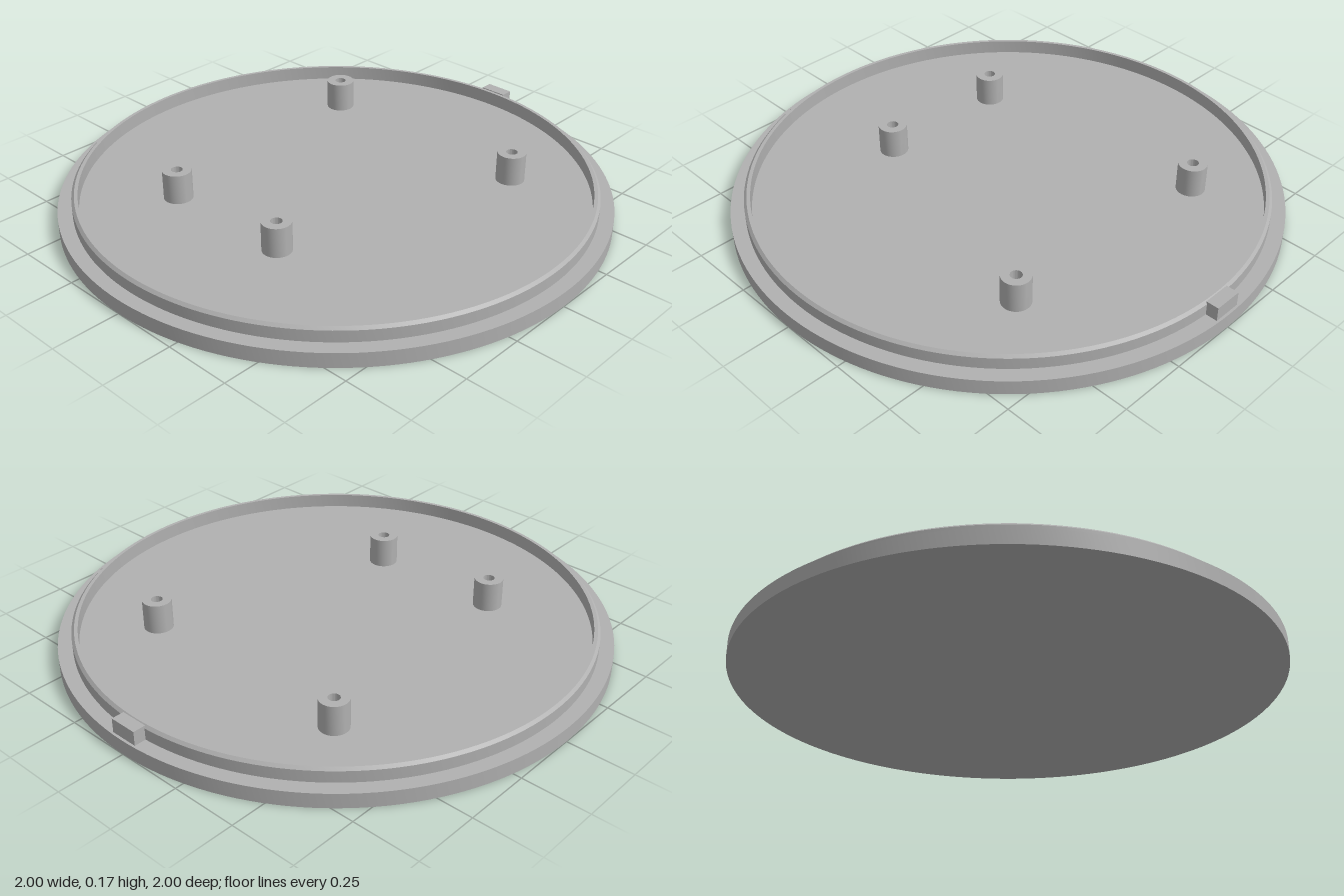
import * as THREE from 'three';
import { toCreasedNormals } from 'three/addons/utils/BufferGeometryUtils.js';

const FLOOR = 0.055, RIM_TOP = 0.108, POST_TOP = 0.167;

// Revolve an [radius, height] profile, keeping its edges sharp
function turned(name, profile, segments, material) {
  const points = profile.map(([r, y]) => new THREE.Vector2(r, y));
  const geometry = toCreasedNormals(new THREE.LatheGeometry(points, segments), 0.4);
  const mesh = new THREE.Mesh(geometry, material);
  mesh.name = name;
  return mesh;
}

export function createModel() {
  const group = new THREE.Group();
  group.name = 'roundCover';
  const grey = new THREE.MeshStandardMaterial({ color: 0xb0b0b0 });
  grey.name = 'plain grey';

  // Disc with a raised, chamfered rim
  group.add(turned('coverPlate', [
    [0, 0], [1, 0], [1, FLOOR], [0.948, FLOOR], [0.948, RIM_TOP - 0.01],
    [0.938, RIM_TOP], [0.925, RIM_TOP], [0.925, FLOOR], [0, FLOOR],
  ], 160, grey));

  // Hollow screw posts
  const posts = [[-0.443, -0.495], [0.436, -0.473], [-0.35, 0.453], [0.158, 0.453]];
  for (const [x, z] of posts) {
    const post = turned('screwPost', [
      [0.053, FLOOR], [0.053, POST_TOP], [0.021, POST_TOP], [0.021, FLOOR],
    ], 40, grey);
    post.position.set(x, 0, z);
    group.add(post);
  }

  // Locating tab on the back of the rim
  const tab = new THREE.Mesh(new THREE.BoxGeometry(0.106, RIM_TOP - FLOOR, 0.047), grey);
  tab.name = 'locatingTab';
  tab.position.set(0, (RIM_TOP + FLOOR) / 2, -0.9665);
  group.add(tab);

  return group;
}
